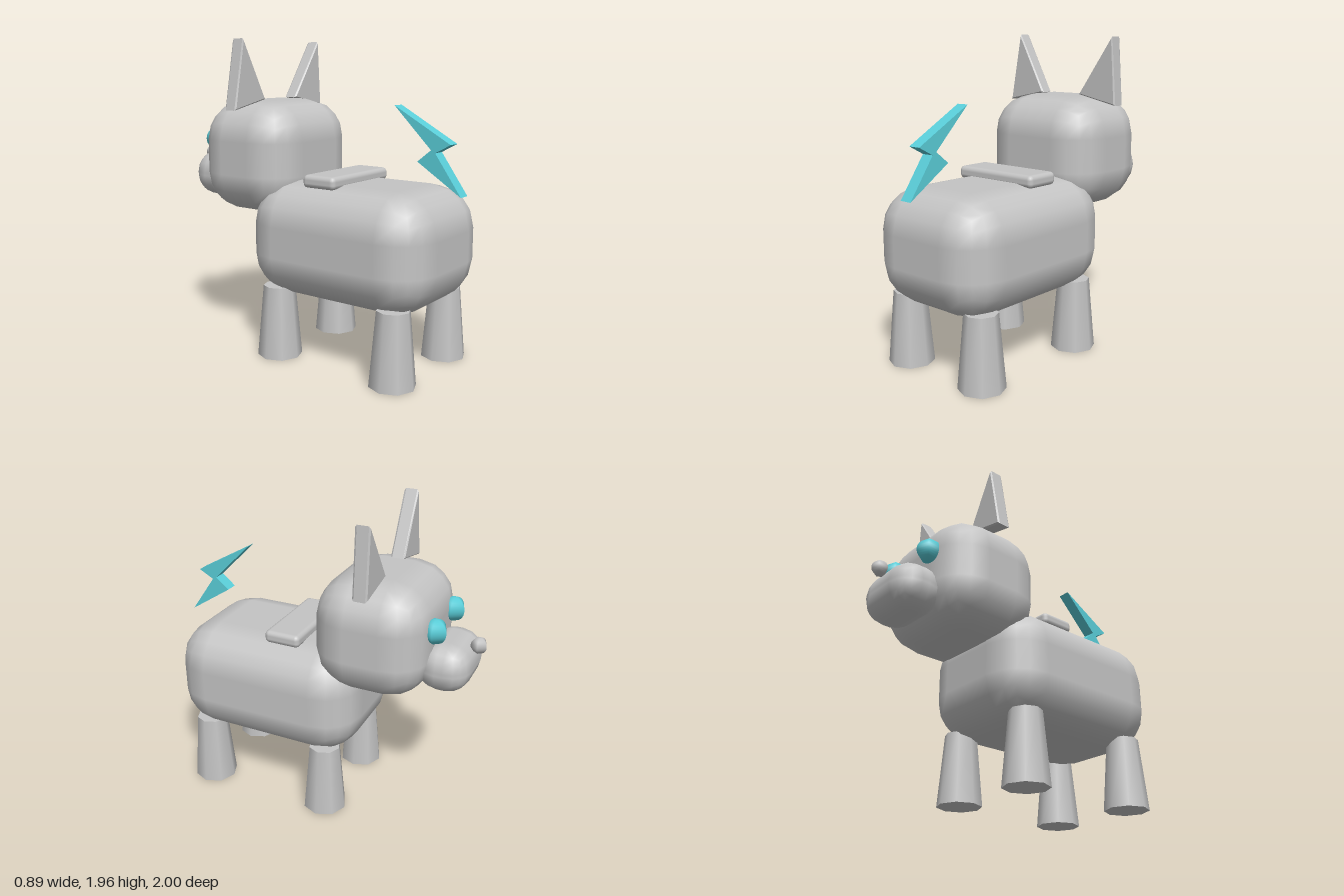
import * as THREE from 'three';
import { RoundedBoxGeometry } from 'three/addons/geometries/RoundedBoxGeometry.js';

export function createModel() {
  const model = new THREE.Group();
  const grey = new THREE.MeshStandardMaterial({ name: 'grey', color: 0xc4c4c4 });
  const cyan = new THREE.MeshStandardMaterial({ name: 'cyan', color: 0x5aced9 });

  const add = (name, geometry, material, x = 0, y = 0, z = 0) => {
    const mesh = new THREE.Mesh(geometry, material);
    mesh.name = name;
    mesh.position.set(x, y, z);
    model.add(mesh);
    return mesh;
  };
  const rounded = (w, h, d, r) => new RoundedBoxGeometry(w, h, d, 2, r);
  const shapeOf = (points) => new THREE.Shape(points.map(([x, y]) => new THREE.Vector2(x, y)));

  // Soft block body, head and snout; the animal faces -z
  add('body', rounded(0.89, 0.71, 1.25, 0.26), grey, 0, 0.75, 0.319);
  add('head', rounded(0.835, 0.71, 0.71, 0.25), grey, 0, 1.229, -0.368);
  add('snout', rounded(0.475, 0.3, 0.325, 0.14), grey, 0, 1.077, -0.783);
  add('backPlate', rounded(0.595, 0.08, 0.235, 0.03), grey, 0, 1.12, 0.195);

  // Five-sided smooth balls for nose and eyes
  const ball = (r) => new THREE.SphereGeometry(r, 5, 16).rotateY(Math.PI);
  add('nose', ball(0.05), grey, 0, 1.198, -0.95);
  for (const [name, x] of [['rightEye', -0.175], ['leftEye', 0.175]]) {
    add(name, ball(0.075), cyan, x, 1.32, -0.735);
  }

  // Tapered legs
  for (const [end, z] of [['front', -0.1], ['back', 0.735]]) {
    for (const [side, x] of [['Right', -0.3], ['Left', 0.3]]) {
      add(end + side + 'Leg', new THREE.CylinderGeometry(0.1, 0.14, 0.45, 8), grey, x, 0.225, z);
    }
  }

  // Bevelled triangular ears
  const ears = {
    rightEar: [[-0.345, 1.95], [-0.42, 1.54], [-0.16, 1.595]],
    leftEar: [[0.393, 1.94], [0.16, 1.595], [0.42, 1.54]],
  };
  for (const [name, points] of Object.entries(ears)) {
    const ear = new THREE.ExtrudeGeometry(shapeOf(points), {
      depth: 0.07, bevelEnabled: true, bevelSize: 0.01, bevelThickness: 0.01, bevelSegments: 1,
    });
    add(name, ear, grey, 0, 0, -0.408);
  }

  // Zigzag tail, outlined in the z-y plane
  const tail = new THREE.ExtrudeGeometry(
    shapeOf([[0.56, 1.577], [0.928, 1.37], [0.832, 1.318], [1.0, 1.08], [0.718, 1.262], [0.805, 1.333]]),
    { depth: 0.08, bevelEnabled: false },
  );
  add('zigzagTail', tail.translate(0, 0, -0.04).rotateY(-Math.PI / 2), cyan);

  return model;
}
